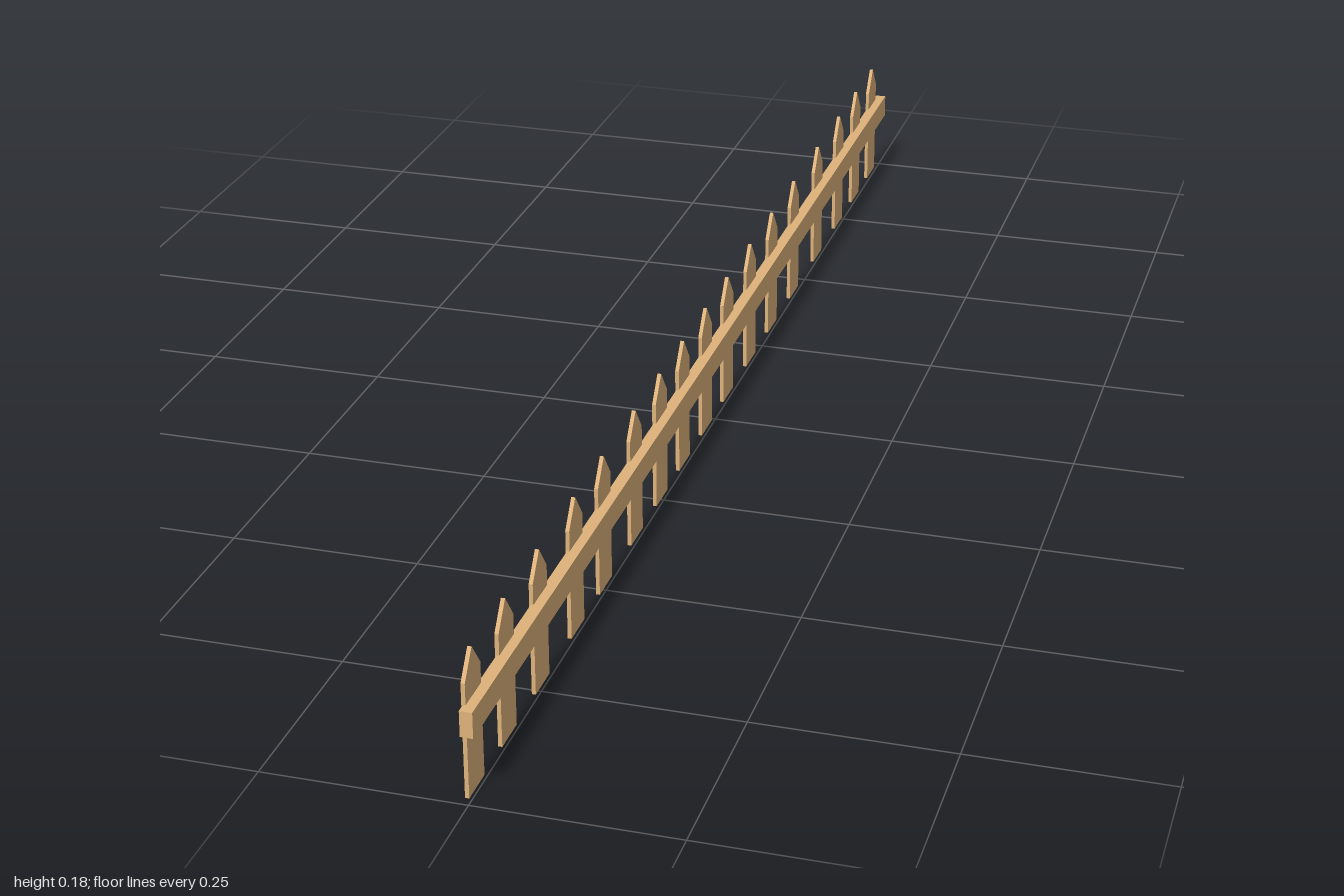
import * as THREE from 'three';

// z positions of the unevenly spaced pickets
const PICKET_Z = [0.962, 0.852, 0.734, 0.6, 0.488, 0.356, 0.244, 0.139, 0.029,
  -0.08, -0.201, -0.322, -0.45, -0.595, -0.732, -0.847, -0.957];

export function createModel() {
  const fence = new THREE.Group();
  fence.name = 'picketFence';
  const wood = new THREE.MeshStandardMaterial({ color: 0xdeb27a });

  // Horizontal rail running the full length
  const rail = new THREE.Mesh(new THREE.BoxGeometry(0.0155, 0.033, 2), wood);
  rail.name = 'rail';
  rail.position.set(0.00075, 0.1035, 0);
  fence.add(rail);

  // Pointed picket board: outline extruded through its thickness along x
  const halfWidth = 0.025, shoulder = 0.147, tip = 0.18, thickness = 0.005;
  const outline = new THREE.Shape([
    new THREE.Vector2(-halfWidth, 0),
    new THREE.Vector2(halfWidth, 0),
    new THREE.Vector2(halfWidth, shoulder),
    new THREE.Vector2(0, tip),
    new THREE.Vector2(-halfWidth, shoulder),
  ]);
  const picketGeometry = new THREE.ExtrudeGeometry(outline, { depth: thickness, bevelEnabled: false });
  picketGeometry.rotateY(Math.PI / 2);

  PICKET_Z.forEach((z, i) => {
    const picket = new THREE.Mesh(picketGeometry, wood);
    picket.name = `picket${i + 1}`;
    picket.position.set(-0.0088, 0, z);
    fence.add(picket);
  });

  return fence;
}
